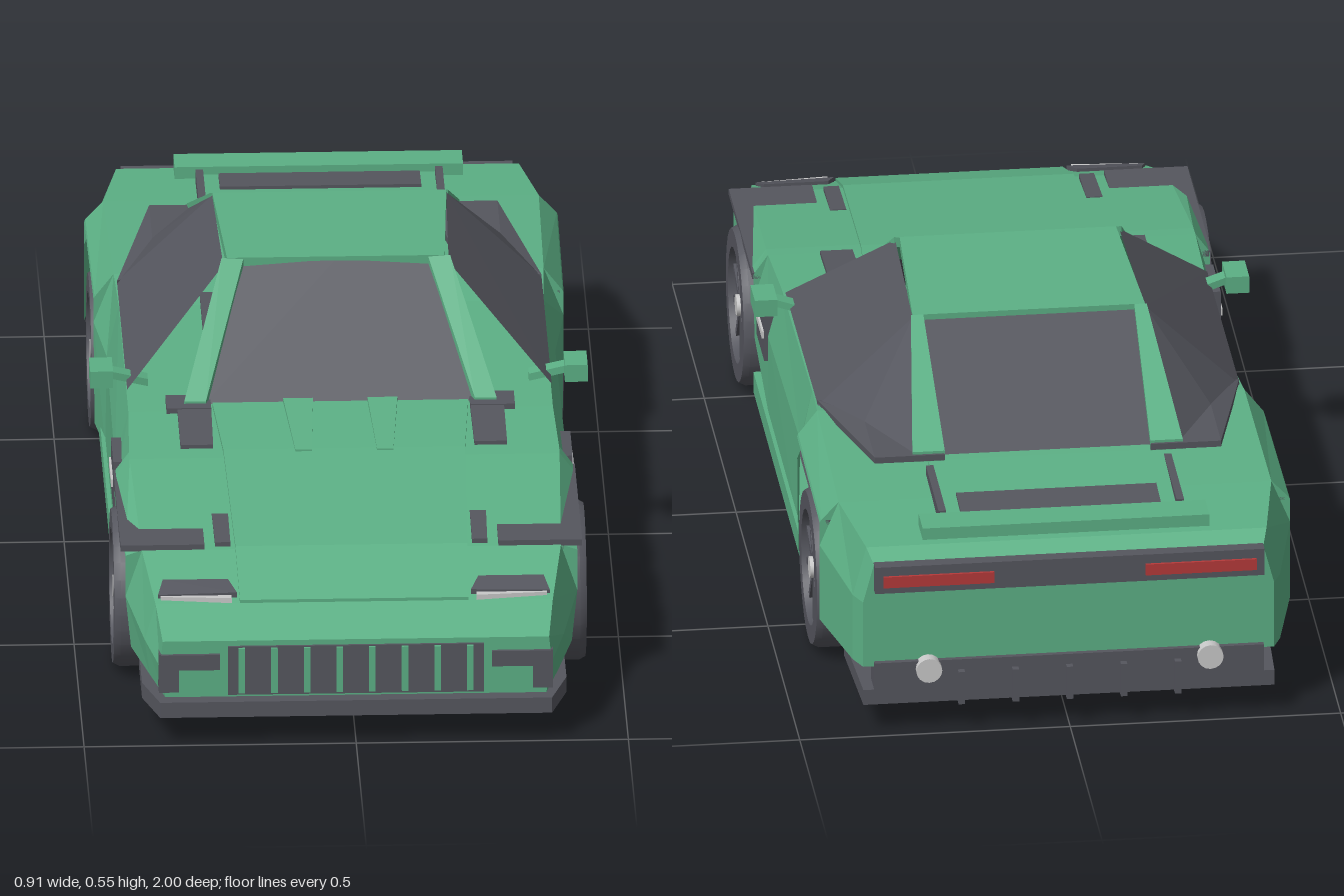
import * as THREE from 'three';
import { toCreasedNormals } from 'three/addons/utils/BufferGeometryUtils.js';
import { ConvexGeometry } from 'three/addons/geometries/ConvexGeometry.js';

const material = (name, color, side = THREE.FrontSide) => {
  const m = new THREE.MeshStandardMaterial({ color, side });
  m.name = name;
  return m;
};

export function createModel() {
  const car = new THREE.Group();
  car.name = 'sportsCar';
  const paint = material('greenPaint', 0x5cb085, THREE.DoubleSide);
  const dark = material('darkTrim', 0x55565e, THREE.DoubleSide);
  const silver = material('silver', 0xc9c9c9);
  const yellow = material('yellow', 0xd8bc1e);
  const red = material('redLamp', 0xb53a3a);

  const add = (name, geo, mat, parent = car) => {
    const mesh = new THREE.Mesh(geo, mat);
    mesh.name = name;
    parent.add(mesh);
    return mesh;
  };
  // Box from its extents, the x pair may run either way
  const box = (name, mat, [x0, x1], [y0, y1], [z0, z1], parent = car) => {
    const mesh = add(name, new THREE.BoxGeometry(Math.abs(x1 - x0), y1 - y0, Math.abs(z1 - z0)), mat, parent);
    mesh.position.set((x0 + x1) / 2, (y0 + y1) / 2, (z0 + z1) / 2);
    return mesh;
  };
  // Convex plate: corners plus the same corners dropped by t
  const slab = (name, mat, pts, t = 0.02) => {
    const v = pts.flatMap(([x, y, z]) => [new THREE.Vector3(x, y, z), new THREE.Vector3(x, y - t, z)]);
    return add(name, new ConvexGeometry(v), mat);
  };
  // Flat polygon drawn as a fan
  const panel = (name, mat, pts) => {
    const tri = [];
    for (let i = 1; i < pts.length - 1; i++) tri.push(...pts[0], ...pts[i], ...pts[i + 1]);
    const geo = new THREE.BufferGeometry();
    geo.setAttribute('position', new THREE.Float32BufferAttribute(tri, 3));
    geo.computeVertexNormals();
    return add(name, geo, mat);
  };

  // Body shell: z, then lower, middle and top edge as x, y; doubled z cuts the arches
  const stations = [
    [0.985, 0.35, 0.09, 0.36, 0.15, 0.355, 0.2],
    [0.9, 0.375, 0.1, 0.385, 0.17, 0.365, 0.24],
    [0.76, 0.405, 0.1, 0.415, 0.2, 0.385, 0.29],
    [0.76, 0.415, 0.275, 0.415, 0.28, 0.385, 0.29],
    [0.42, 0.422, 0.295, 0.42, 0.3, 0.395, 0.333],
    [0.39, 0.422, 0.295, 0.42, 0.3, 0.395, 0.335],
    [0.39, 0.42, 0.17, 0.42, 0.25, 0.395, 0.335],
    [0.22, 0.415, 0.1, 0.415, 0.25, 0.39, 0.345],
    [-0.26, 0.415, 0.08, 0.412, 0.26, 0.39, 0.36],
    [-0.38, 0.43, 0.08, 0.432, 0.28, 0.395, 0.375],
    [-0.38, 0.432, 0.325, 0.43, 0.33, 0.395, 0.375],
    [-0.76, 0.435, 0.325, 0.433, 0.33, 0.4, 0.365],
    [-0.76, 0.435, 0.13, 0.435, 0.28, 0.4, 0.365],
    [-0.94, 0.395, 0.13, 0.395, 0.26, 0.37, 0.355],
    [-0.975, 0.38, 0.13, 0.38, 0.26, 0.36, 0.335],
  ];
  const rings = stations.map(([z, a, b, c, d, e, f]) =>
    [[a, b, z], [c, d, z], [e, f, z], [-e, f, z], [-c, d, z], [-a, b, z]]);
  const tri = [];
  for (let i = 0; i < rings.length - 1; i++) {
    for (let k = 0; k < 5; k++) {
      const [p, q, r, s] = [rings[i][k], rings[i + 1][k], rings[i + 1][k + 1], rings[i][k + 1]];
      tri.push(...p, ...q, ...s, ...q, ...r, ...s);
    }
  }
  const shell = new THREE.BufferGeometry();
  shell.setAttribute('position', new THREE.Float32BufferAttribute(tri, 3));
  shell.computeVertexNormals();
  add('bodyShell', shell, paint);
  panel('noseFace', paint, rings[0]);
  panel('tailFace', paint, rings[rings.length - 1].slice().reverse());

  // Floor pan, narrowed between the wheels
  const half = [[0.36, 1], [0.39, 0.9], [0.39, 0.76], [0.28, 0.76], [0.28, 0.4], [0.4, 0.4], [0.4, -0.38],
    [0.28, -0.38], [0.28, -0.76], [0.39, -0.76], [0.38, -0.98]];
  const plan = [...half, ...half.map(([x, z]) => [-x, z]).reverse()];
  const floor = new THREE.ExtrudeGeometry(new THREE.Shape(plan.map(([x, z]) => new THREE.Vector2(x, z))),
    { depth: 0.03, bevelEnabled: false });
  floor.rotateX(Math.PI / 2).translate(0, 0.085, 0);
  add('floorPan', floor, dark);

  // Grille and bumper
  box('grille', dark, [-0.235, 0.235], [0.095, 0.19], [0.98, 0.99]);
  for (let i = 0; i < 8; i++) {
    const x = -0.21 + i * 0.06;
    box('grilleBar', paint, [x - 0.006, x + 0.006], [0.1, 0.188], [0.985, 0.996]);
  }
  // Bonnet panel in sloping sections
  const bonnet = [[0.9, 0.21, 0.246], [0.76, 0.213, 0.296], [0.4, 0.222, 0.341], [0.2, 0.235, 0.353]];
  for (let i = 0; i < 3; i++) {
    const [[z0, x0, y0], [z1, x1, y1]] = [bonnet[i], bonnet[i + 1]];
    slab('bonnet', paint, [[-x0, y0, z0], [x0, y0, z0], [x1, y1, z1], [-x1, y1, z1]]);
  }

  // Roof and windows
  slab('roof', paint, [[-0.2, 0.55, -0.02], [0.2, 0.55, -0.02], [0.215, 0.545, -0.35], [-0.215, 0.545, -0.35]]);
  panel('windscreen', dark, [[-0.25, 0.35, 0.2], [0.25, 0.35, 0.2], [0.17, 0.535, -0.015], [0, 0.544, -0.022],
    [-0.17, 0.535, -0.015]]);
  panel('rearWindow', dark, [[0.19, 0.395, -0.64], [-0.19, 0.395, -0.64], [-0.2, 0.535, -0.352], [0.2, 0.535, -0.352]]);
  box('cabinFloor', dark, [-0.24, 0.24], [0.355, 0.366], [-0.6, 0.15]);

  // Rear deck, wing and tail
  slab('engineCover', paint, [[-0.22, 0.385, -0.64], [0.22, 0.385, -0.64], [0.22, 0.37, -0.87], [-0.22, 0.37, -0.87]]);
  slab('deckVent', dark, [[-0.185, 0.382, -0.78], [0.185, 0.382, -0.78], [0.185, 0.376, -0.86], [-0.185, 0.376, -0.86]], 0.008);
  box('rearWing', paint, [-0.265, 0.265], [0.362, 0.385], [-0.935, -0.87]);
  box('tailBand', dark, [-0.36, 0.36], [0.285, 0.338], [-0.995, -0.94]);
  box('diffuser', dark, [-0.36, 0.36], [0.06, 0.14], [-0.985, -0.93]);
  for (let i = 0; i < 5; i++) {
    const x = -0.2 + i * 0.1;
    box('diffuserFin', dark, [x - 0.006, x + 0.006], [0.055, 0.12], [-0.998, -0.9]);
  }

  for (const s of [1, -1]) {
    const m = pts => pts.map(([x, y, z]) => [s * x, y, z]);

    // Pillars and side glass
    slab('frontPillar', paint, m([[0.17, 0.547, -0.02], [0.21, 0.55, -0.02], [0.287, 0.36, 0.21], [0.247, 0.36, 0.21]]));
    slab('rearPillar', paint, m([[0.195, 0.545, -0.35], [0.218, 0.545, -0.35], [0.25, 0.405, -0.645], [0.19, 0.405, -0.645]]));
    panel('sideWindow', dark, m([[0.39, 0.365, 0.16], [0.39, 0.372, -0.35], [0.215, 0.54, -0.35], [0.207, 0.54, -0.01]]));
    panel('quarterWindow', dark, m([[0.215, 0.54, -0.35], [0.39, 0.372, -0.35], [0.32, 0.4, -0.49], [0.245, 0.4, -0.64]]));
    slab('quarterLedge', dark, m([[0.39, 0.378, -0.34], [0.32, 0.4, -0.47], [0.32, 0.4, -0.65], [0.19, 0.4, -0.65], [0.24, 0.39, -0.4]]), 0.012);

    // Seat
    box('seat', yellow, [s * 0.07, s * 0.19], [0.366, 0.39], [-0.25, -0.02]);
    box('seatBack', yellow, [s * 0.07, s * 0.19], [0.366, 0.48], [-0.29, -0.23]);

    // Mirror
    box('mirror', paint, [s * 0.415, s * 0.457], [0.36, 0.393], [0.07, 0.14]);
    slab('mirrorArm', paint, m([[0.35, 0.365, 0.08], [0.35, 0.365, 0.11], [0.42, 0.385, 0.12], [0.42, 0.385, 0.09]]), 0.014);

    // Bonnet ridge, slots and cowl vent
    slab('bonnetRidge', paint, m([[0.05, 0.36, 0.2], [0.105, 0.36, 0.2], [0.09, 0.343, 0.41], [0.06, 0.343, 0.41]]));
    slab('bonnetSlot', dark, m([[0.222, 0.308, 0.63], [0.252, 0.308, 0.63], [0.25, 0.3, 0.75], [0.222, 0.3, 0.75]]), 0.015);
    slab('cowlVent', dark, m([[0.238, 0.357, 0.17], [0.32, 0.357, 0.17], [0.32, 0.355, 0.23], [0.238, 0.355, 0.23]]), 0.012);
    slab('cowlVentTail', dark, m([[0.238, 0.353, 0.23], [0.3, 0.353, 0.23], [0.3, 0.343, 0.38], [0.24, 0.343, 0.38]]), 0.012);

    // Headlamp and bumper intake
    slab('headlampSurround', dark, m([[0.215, 0.255, 0.885], [0.36, 0.252, 0.885], [0.35, 0.266, 0.845], [0.23, 0.266, 0.845]]), 0.018);
    slab('headlamp', silver, m([[0.225, 0.25, 0.9], [0.355, 0.25, 0.89], [0.355, 0.25, 0.88], [0.225, 0.25, 0.88]]), 0.014);
    box('bumperIntake', dark, [s * 0.25, s * 0.358], [0.145, 0.175], [0.95, 0.992]);
    box('bumperCorner', dark, [s * 0.325, s * 0.362], [0.1, 0.175], [0.92, 0.988]);

    // Side vent and sill
    box('sideVent', dark, [s * 0.4, s * 0.422], [0.2, 0.295], [0.22, 0.34]);
    box('sideVentBlade', silver, [s * 0.415, s * 0.426], [0.244, 0.258], [0.225, 0.335]);
    box('sill', paint, [s * 0.38, s * 0.422], [0.06, 0.1], [-0.38, 0.39]);

    // Tail lamps, exhausts and deck slots
    box('tailLamp', red, [s * 0.14, s * 0.345], [0.298, 0.32], [-1, -0.992]);
    const exhaust = add('exhaust', new THREE.CylinderGeometry(0.024, 0.024, 0.03, 16), silver);
    exhaust.rotation.x = Math.PI / 2;
    exhaust.position.set(s * 0.26, 0.125, -0.982);
    box('deckSlot', dark, [s * 0.213, s * 0.227], [0.36, 0.384], [-0.86, -0.66]);

    for (const [z, front, back, top, end] of [[0.58, 0.76, 0.39, 0.3, 'front'], [-0.57, -0.38, -0.76, 0.33, 'rear']]) {
      // Wheel well
      box(end + 'WellWall', dark, [s * 0.27, s * 0.285], [0.06, top], [back, front]);
      box(end + 'WellTop', dark, [s * 0.27, s * 0.424], [top - 0.012, top], [back, front]);
      box(end + 'WellFront', dark, [s * 0.27, s * 0.39], [0.1, top], [front - 0.01, front]);
      box(end + 'WellBack', dark, [s * 0.27, s * 0.39], [0.17, top], [back, back + 0.01]);

      // Wheel, built with its axle along y
      const wheel = new THREE.Group();
      wheel.name = end + 'Wheel';
      wheel.position.set(s * 0.367, 0.148, z);
      wheel.rotation.z = -s * Math.PI / 2;
      car.add(wheel);
      const profile = [[0, -0.06], [0.13, -0.067], [0.148, -0.055], [0.148, 0.055], [0.142, 0.067], [0.108, 0.067],
        [0.1, 0.03], [0, 0.03]].map(([r, h]) => new THREE.Vector2(r, h));
      add('tyre', toCreasedNormals(new THREE.LatheGeometry(profile, 28), 0.5), dark, wheel);
      add('brakeDisc', new THREE.CylinderGeometry(0.08, 0.08, 0.01, 24), silver, wheel).position.y = 0.033;
      add('hubCap', new THREE.CylinderGeometry(0.02, 0.022, 0.03, 12), silver, wheel).position.y = 0.05;
      const caliper = Math.sign(z) * -0.065;
      box('caliper', yellow, [-0.055, 0.03], [0.03, 0.044], [caliper - 0.025, caliper + 0.025], wheel);
      for (let i = 0; i < 10; i++) {
        const spoke = new THREE.BoxGeometry(0.088, 0.012, 0.013).translate(0.062, 0.052, 0);
        add('spoke', spoke, dark, wheel).rotation.y = i * Math.PI / 5;
      }
    }
  }
  return car;
}
